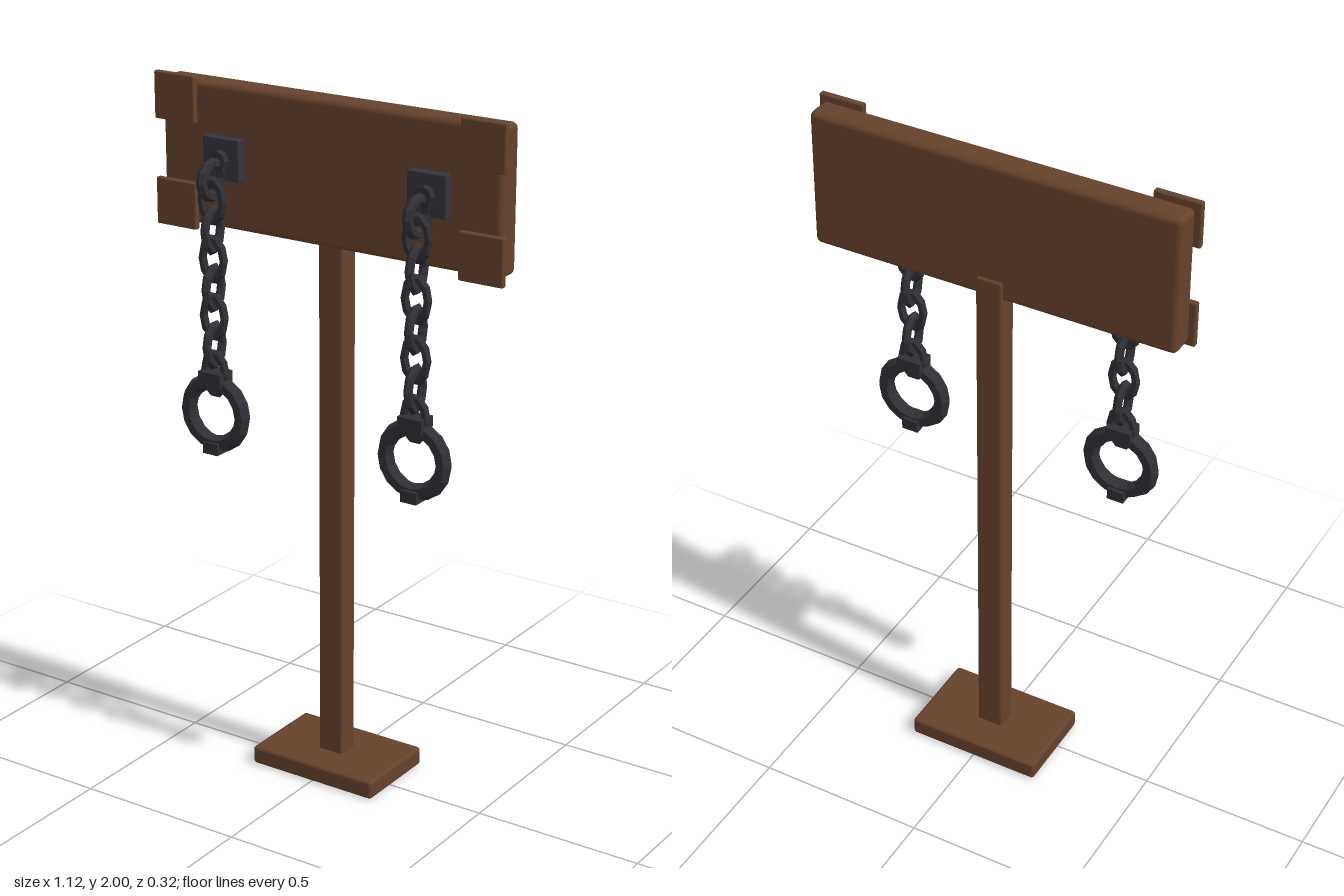
import * as THREE from 'three';
import { RoundedBoxGeometry } from 'three/addons/geometries/RoundedBoxGeometry.js';

export function createModel() {
  const model = new THREE.Group();
  model.name = 'shacklePost';

  const mat = (name, color) => {
    const m = new THREE.MeshStandardMaterial({ color });
    m.name = name;
    return m;
  };
  const wood = mat('brown wood', 0x65422c);
  const plateIron = mat('plate iron', 0x34353e);
  const iron = mat('dark iron', 0x303036);
  iron.flatShading = true;

  const add = (parent, name, geometry, material, x, y, z) => {
    const mesh = new THREE.Mesh(geometry, material);
    mesh.name = name;
    mesh.position.set(x, y, z);
    parent.add(mesh);
    return mesh;
  };
  // Rounded box given by its min and max corners
  const block = (parent, name, material, [x0, y0, z0], [x1, y1, z1], r) =>
    add(parent, name, new RoundedBoxGeometry(x1 - x0, y1 - y0, z1 - z0, 2, r), material,
      (x0 + x1) / 2, (y0 + y1) / 2, (z0 + z1) / 2);

  // Wooden stand and board
  block(model, 'base', wood, [-0.205, 0, -0.16], [0.205, 0.055, 0.11], 0.01);
  block(model, 'post', wood, [-0.04, 0.03, -0.057], [0.04, 1.64, 0.01], 0.008);
  block(model, 'board', wood, [-0.545, 1.58, -0.05], [0.545, 1.987, 0.03], 0.018);

  // Corner plates on the front of the board
  for (const x of [-0.492, 0.492])
    for (const y of [1.633, 1.933])
      block(model, 'cornerPlate', wood, [x - 0.068, y - 0.067, 0.028], [x + 0.068, y + 0.067, 0.047], 0.005);

  // One hanging shackle with its mount and chain
  const chainZ = 0.096;
  const linkGeometry = new THREE.TorusGeometry(0.036, 0.0125, 6, 10);
  linkGeometry.scale(1, 1.5, 1);
  const makeShackle = (x) => {
    const g = new THREE.Group();
    g.name = x > 0 ? 'leftShackle' : 'rightShackle';
    g.position.x = x;
    model.add(g);

    // Wall mount: plate, peg and eye ring
    block(g, 'mountPlate', plateIron, [-0.06, 1.725, 0.028], [0.06, 1.843, 0.055], 0.004);
    const peg = add(g, 'peg', new THREE.CylinderGeometry(0.028, 0.028, 0.022, 8), iron, 0, 1.783, 0.064);
    peg.rotation.x = Math.PI / 2;
    const eye = add(g, 'eyeRing', new THREE.TorusGeometry(0.047, 0.015, 6, 12), iron, 0, 1.735, chainZ);
    eye.rotation.y = Math.PI / 2;

    // Alternating chain links
    for (let i = 0; i < 7; i++) {
      const link = add(g, 'chainLink', linkGeometry, iron, 0, 1.677 - i * 0.083, chainZ);
      link.rotation.y = i % 2 ? Math.PI / 2 : 0;
    }

    // Cuff with hinge and lock blocks
    add(g, 'cuff', new THREE.TorusGeometry(0.092, 0.024, 6, 16), iron, 0, 1.063, chainZ);
    add(g, 'topBlock', new THREE.BoxGeometry(0.075, 0.04, 0.06), iron, 0, 1.167, chainZ);
    add(g, 'hingeBlock', new THREE.BoxGeometry(0.05, 0.034, 0.06), iron, 0, 0.962, chainZ);
  };
  makeShackle(-0.33);
  makeShackle(0.33);

  return model;
}
